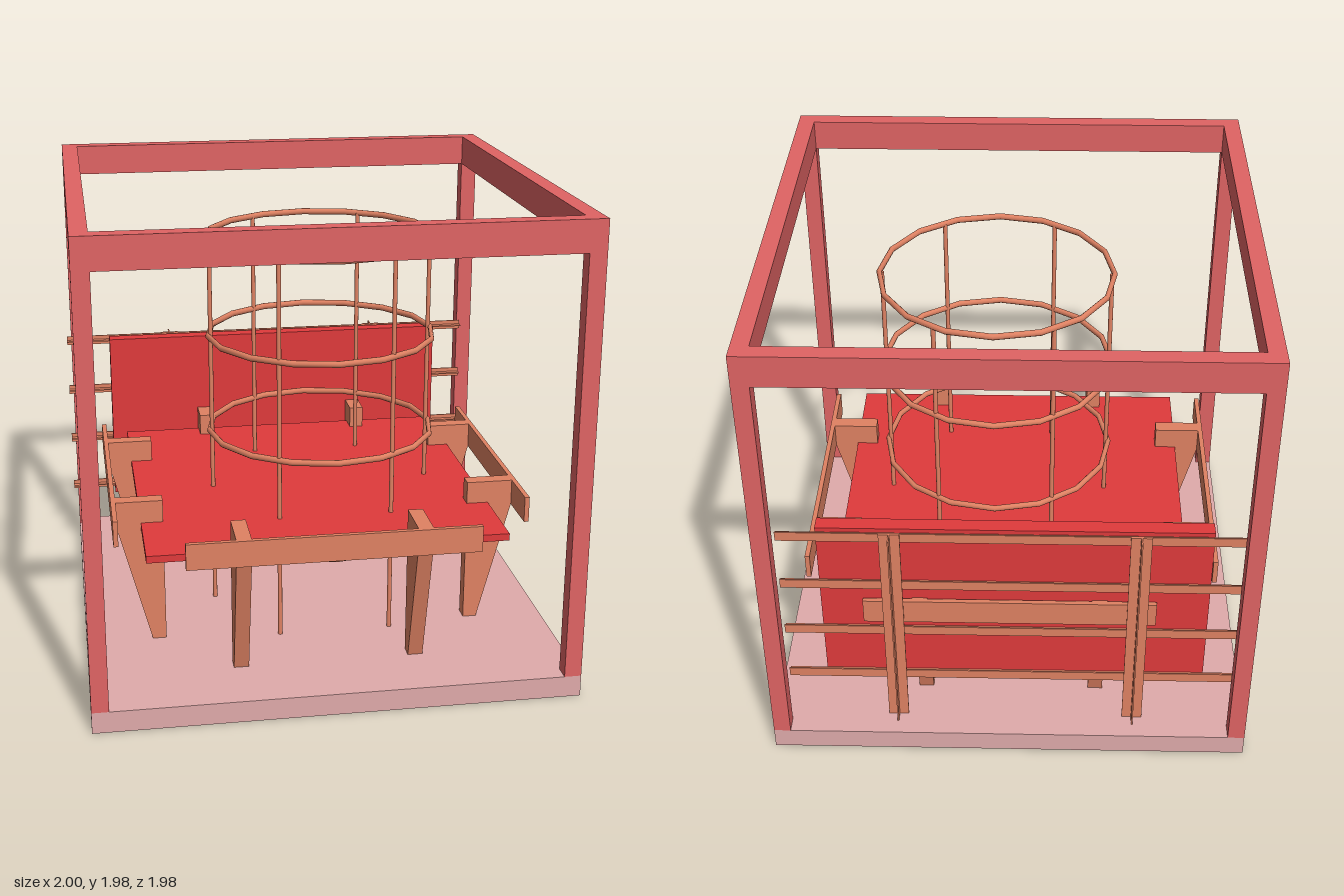
import * as THREE from 'three';

const mat = (color, side = THREE.FrontSide) => new THREE.MeshStandardMaterial({ color, side });

export function createModel() {
  const model = new THREE.Group();
  const frameMat = mat(0xe06464);
  const floorMat = mat(0xe0abab);
  const panelMat = mat(0xe03a3c);
  const woodMat = mat(0xe08263);

  const add = (name, geometry, material, parent = model) => {
    const mesh = new THREE.Mesh(geometry, material);
    mesh.name = name;
    parent.add(mesh);
    return mesh;
  };
  // Box given by its lower and upper limits on each axis
  const box = (name, material, [x0, x1], [y0, y1], [z0, z1], parent = model) => {
    const mesh = add(name, new THREE.BoxGeometry(x1 - x0, y1 - y0, z1 - z0), material, parent);
    mesh.position.set((x0 + x1) / 2, (y0 + y1) / 2, (z0 + z1) / 2);
    return mesh;
  };

  // Outer frame: floor slab, corner posts and roof ring
  const cx = 0.01, floorY = 0.09, half = 0.99, bar = 0.07, roofY = 1.85, topY = 1.98;
  box('floor', floorMat, [cx - half, cx + half], [0, floorY], [-half, half]);
  for (const sx of [-1, 1]) for (const sz of [-1, 1]) {
    const post = add('cornerPost', new THREE.BoxGeometry(bar, roofY - floorY, bar), frameMat);
    post.position.set(cx + sx * (half - bar / 2), (roofY + floorY) / 2, sz * (half - bar / 2));
  }
  const square = (r) => [[-r, -r], [r, -r], [r, r], [-r, r]].map(([x, y]) => new THREE.Vector2(x, y));
  const roof = new THREE.Shape(square(half));
  roof.holes.push(new THREE.Path(square(half - bar).reverse()));
  const roofGeo = new THREE.ExtrudeGeometry(roof, { depth: topY - roofY, bevelEnabled: false });
  roofGeo.rotateX(-Math.PI / 2);
  add('roofFrame', roofGeo, frameMat).position.set(cx, roofY, 0);

  // Table top
  box('tableTop', panelMat, [-0.735, 0.75], [0.595, 0.625], [-0.745, 0.735]);

  // Each table side: two tapered legs and an outer rail
  const legShape = new THREE.Shape([
    [0.65, floorY], [0.708, floorY], [0.845, 0.61], [0.845, 0.72], [0.65, 0.72],
  ].map(([x, y]) => new THREE.Vector2(x, y)));
  const legGeo = new THREE.ExtrudeGeometry(legShape, { depth: 0.062, bevelEnabled: false });
  legGeo.translate(0, 0, -0.031);
  for (let i = 0; i < 4; i++) {
    const side = new THREE.Group();
    side.name = 'tableSide';
    for (const z of [-0.365, 0.365]) add('leg', legGeo, woodMat, side).position.z = z;
    box('sideRail', woodMat, [0.845, 0.865], [0.61, 0.72], [-0.595, 0.595], side);
    side.rotation.y = i * Math.PI / 2;
    side.position.set(0.008, 0, -0.004);
    model.add(side);
  }

  // Back panel on a rack of T-section rails and posts
  box('backPanel', panelMat, [-0.8, 0.775], [0.3, 1.08], [-0.843, -0.78]);
  for (let i = 0; i < 4; i++) {
    const y = 0.32 + i * 0.246;
    box('railFlange', woodMat, [-1, 0.93], [y - 0.021, y + 0.021], [-0.873, -0.867]);
    box('railWeb', woodMat, [-1, 0.93], [y - 0.003, y + 0.003], [-0.867, -0.843]);
  }
  for (const x of [-0.51, 0.48]) {
    box('rackPostFlange', woodMat, [x - 0.042, x + 0.042], [floorY, 1.08], [-0.88, -0.873]);
    box('rackPostWeb', woodMat, [x - 0.003, x + 0.003], [floorY, 1.08], [-0.925, -0.88]);
  }

  // Round cage: four sixteen-sided hoops on six poles
  const cage = new THREE.Group();
  cage.name = 'cage';
  cage.position.set(0.08, 0, 0.02);
  model.add(cage);
  const hoopGeo = new THREE.TorusGeometry(0.486, 0.011, 10, 16);
  hoopGeo.rotateX(Math.PI / 2);
  hoopGeo.scale(1, 1.25, 1);
  for (const y of [0.457, 0.885, 1.311, 1.737]) add('hoop', hoopGeo, woodMat, cage).position.y = y;
  const poleGeo = new THREE.CylinderGeometry(0.0095, 0.0095, 1.737 - floorY, 12);
  for (let i = 0; i < 6; i++) {
    const a = i * Math.PI / 3;
    add('pole', poleGeo, woodMat, cage)
      .position.set(0.475 * Math.cos(a), (1.737 + floorY) / 2, 0.475 * Math.sin(a));
  }
  return model;
}
